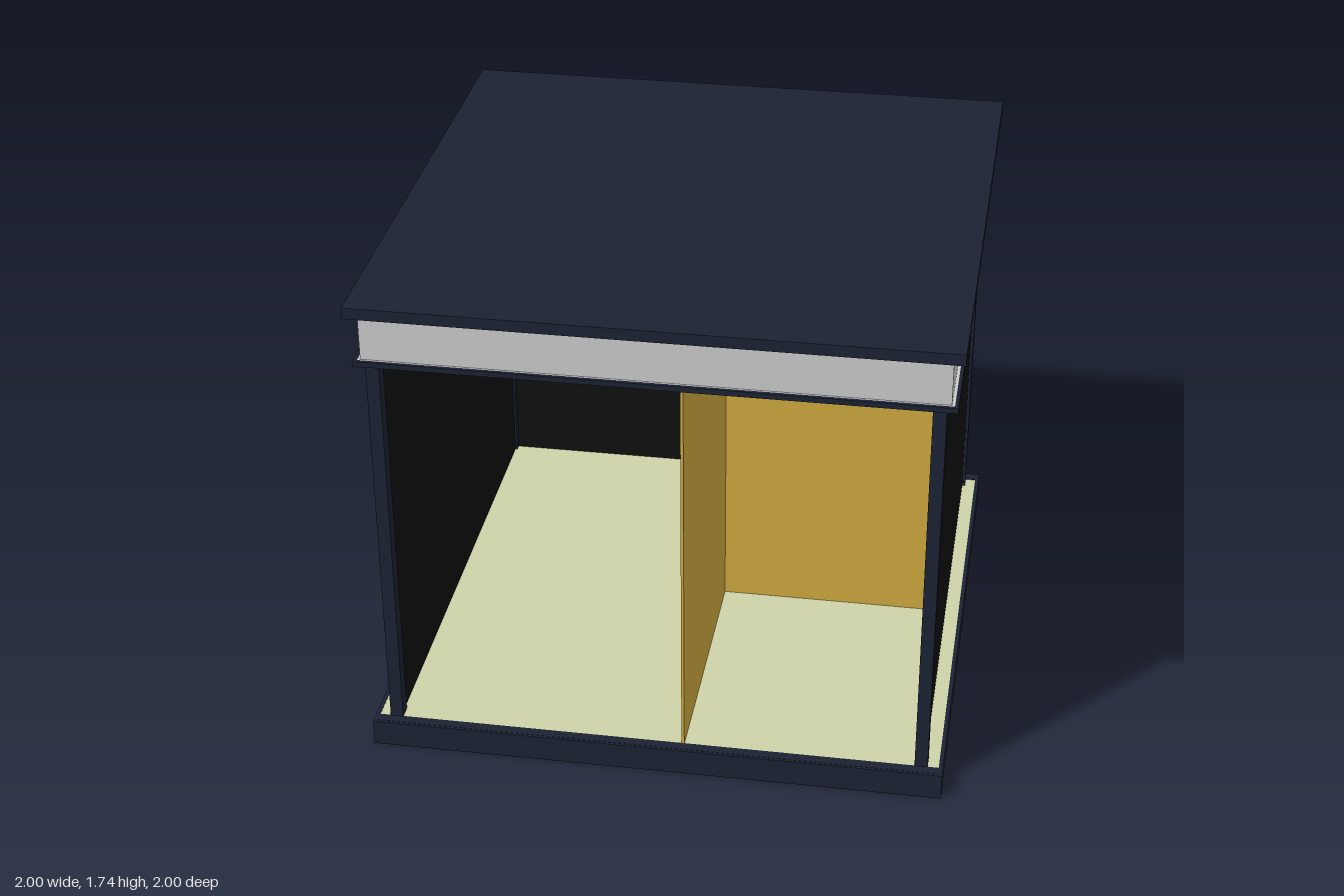
import * as THREE from 'three';

const material = (color) => new THREE.MeshStandardMaterial({ color });

export function createModel() {
  const model = new THREE.Group();
  const navy = material(0x1b2232);
  const black = material(0x0f0f0f);
  const gold = material(0xcfa93f);
  const pale = material(0xced3a8);
  const grey = material(0xcccccc);

  // Box given by its extents along each axis
  function box(name, mat, [x0, x1], [y0, y1], [z0, z1]) {
    const mesh = new THREE.Mesh(new THREE.BoxGeometry(x1 - x0, y1 - y0, z1 - z0), mat);
    mesh.position.set((x0 + x1) / 2, (y0 + y1) / 2, (z0 + z1) / 2);
    mesh.name = name;
    model.add(mesh);
  }

  // Extents mirrored to the chosen side
  const side = (s, a, b) => (s > 0 ? [a, b] : [-b, -a]);

  // Square ring of four bars
  function ring(name, mat, half, width, y) {
    for (const s of [-1, 1]) {
      box(name, mat, side(s, half - width, half), y, [-half, half]);
      box(name, mat, [-half + width, half - width], y, side(s, half - width, half));
    }
  }

  // Base: thin skirt, recessed floor slab, front and back sills
  ring('baseSkirt', navy, 1, 0.015, [0, 0.095]);
  box('floor', pale, [-0.985, 0.985], [0.02, 0.094], [-0.985, 0.985]);
  for (const s of [-1, 1]) box('sill', navy, [-0.985, 0.985], [0.06, 0.096], side(s, 0.955, 0.99));

  // Corner posts
  for (const sx of [-1, 1])
    for (const sz of [-1, 1])
      box('cornerPost', navy, side(sx, 0.902, 0.947), [0.09, 1.52], side(sz, 0.905, 0.957));

  // Outer walls; the front stays open
  box('rightWall', black, [-0.936, -0.91], [0.09, 1.52], [-0.95, 0.91]);
  box('leftWall', black, [0.91, 0.936], [0.09, 1.52], [-0.95, 0.91]);
  box('leftWallEdge', black, [0.936, 0.946], [1.52, 1.65], [-0.963, -0.9]);
  box('backWall', black, [-0.91, 0.91], [0.09, 1.52], [-0.952, -0.93]);

  // Inner walls: long divider and the cross wall behind the front bay
  box('dividerWall', gold, [0.092, 0.102], [0.09, 1.65], [-0.963, 0.958]);
  box('crossWall', gold, [0.102, 0.91], [0.09, 1.52], [-0.012, 0]);

  // Ceiling, trim, fascia and roof
  box('ceiling', grey, [-0.975, 0.975], [1.519, 1.53], [-0.975, 0.975]);
  ring('trim', navy, 0.983, 0.012, [1.513, 1.532]);
  ring('fascia', grey, 0.961, 0.02, [1.53, 1.696]);
  box('roof', navy, [-1, 1], [1.695, 1.735], [-1, 1]);

  return model;
}
